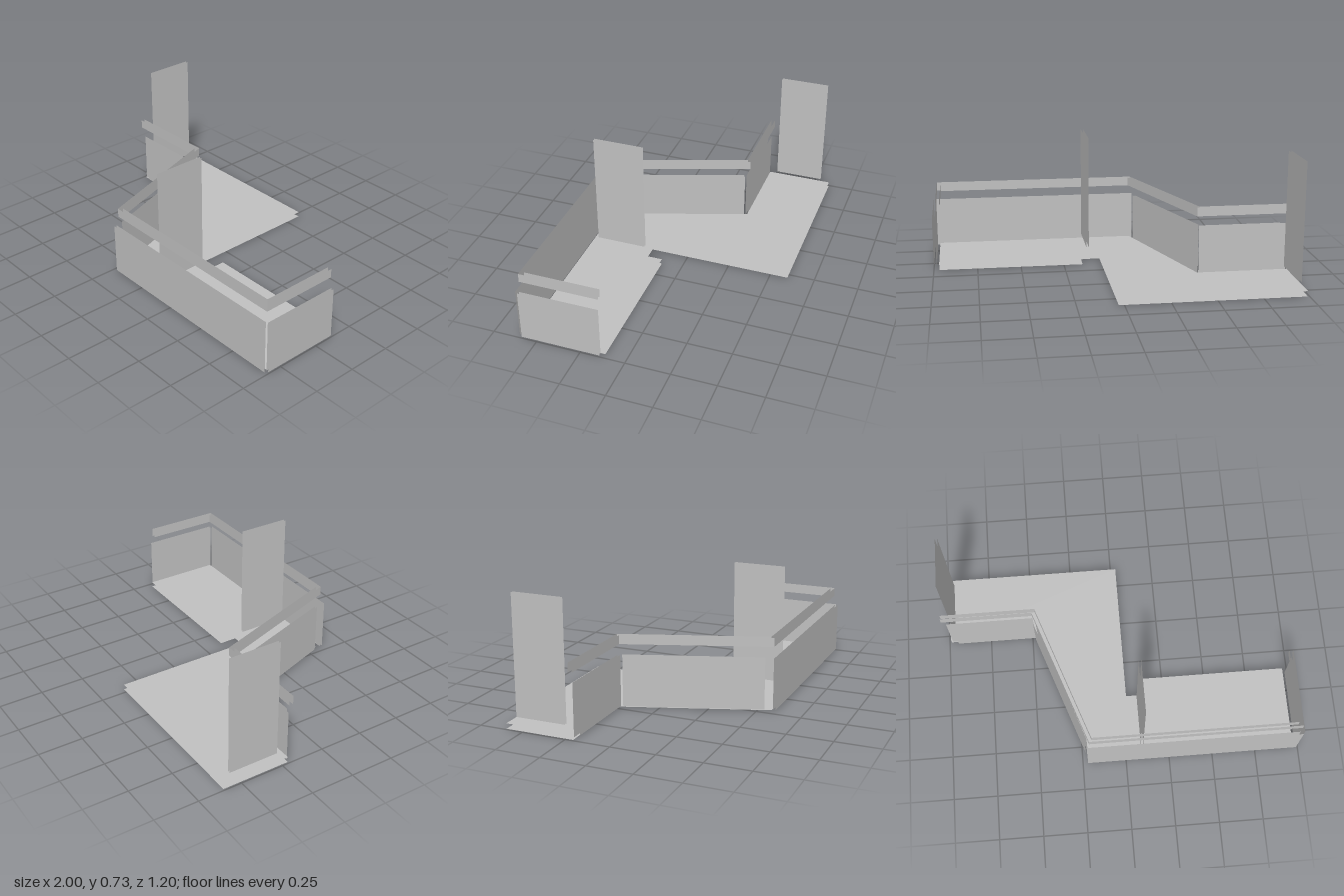
import * as THREE from 'three';

export function createModel() {
  const model = new THREE.Group();
  const grey = new THREE.MeshStandardMaterial({ color: 0xc0c0c0, side: THREE.DoubleSide });
  grey.name = 'light grey';

  const add = (name, geometry) => {
    const mesh = new THREE.Mesh(geometry, grey);
    mesh.name = name;
    model.add(mesh);
    return mesh;
  };

  // Upright sheet between two plan points [x, z]
  const sheet = (name, [x0, z0], [x1, z1], bottom, top) => {
    const geometry = new THREE.PlaneGeometry(Math.hypot(x1 - x0, z1 - z0), top - bottom);
    const mesh = add(name, geometry);
    mesh.position.set((x0 + x1) / 2, (bottom + top) / 2, (z0 + z1) / 2);
    mesh.rotation.y = Math.atan2(z0 - z1, x1 - x0);
  };

  // Floor slab: an upper and a lower skin
  const outline = [
    [-0.99, -0.6], [0.03, -0.6], [0.03, 0.22], [0.14, 0.22], [0.14, 0.12],
    [0.97, 0.12], [0.97, 0.57], [-0.2, 0.57], [-0.47, -0.21], [-0.99, -0.21],
  ];
  const floor = new THREE.Shape(outline.map(([x, z]) => new THREE.Vector2(x, -z)));
  add('floorTop', new THREE.ShapeGeometry(floor).rotateX(-Math.PI / 2).translate(0, 0.03, 0));
  const underside = new THREE.Shape(outline.map(([x, z]) => new THREE.Vector2(x, z)));
  add('floorUnderside', new THREE.ShapeGeometry(underside).rotateX(Math.PI / 2));

  // Parapet panels: separate outer and inner skins
  const panels = {
    rightPanelOuter: [[-0.945, -0.195], [-0.48, -0.195]],
    rightPanelInner: [[-0.98, -0.21], [-0.48, -0.21]],
    slantedPanelOuter: [[-0.48, -0.18], [-0.23, 0.54]],
    slantedPanelInner: [[-0.466, -0.19], [-0.218, 0.535]],
    frontPanelOuter: [[-0.22, 0.6], [0.99, 0.6]],
    frontPanelInner: [[-0.22, 0.585], [0.975, 0.585]],
    leftPanelOuter: [[1, 0.585], [1, 0.14]],
    leftPanelInner: [[0.985, 0.582], [0.985, 0.14]],
  };
  for (const [name, [a, b]] of Object.entries(panels)) sheet(name, a, b, 0.01, 0.3);

  // Handrail: two mitred strips following the parapet
  const rails = {
    handrailOuter: [[-1, -0.2], [-0.479, -0.2], [-0.205, 0.58], [0.977, 0.58], [0.977, 0.14]],
    handrailInner: [[-1, -0.222], [-0.462, -0.222], [-0.19, 0.558], [0.955, 0.558], [0.955, 0.14]],
  };
  for (const [name, path] of Object.entries(rails)) {
    for (let i = 1; i < path.length; i++) sheet(name + i, path[i - 1], path[i], 0.36, 0.41);
  }

  // Tall partition screens, each with two faces
  for (const [name, x, z0, z1] of [['leftScreen', 0.097, 0.24, 0.53], ['rightScreen', -0.962, -0.55, -0.265]]) {
    for (const side of [-1, 1]) {
      sheet(name + (side > 0 ? 'LeftFace' : 'RightFace'), [x + side * 0.007, z0], [x + side * 0.007, z1], 0.065, 0.727);
    }
  }

  return model;
}
